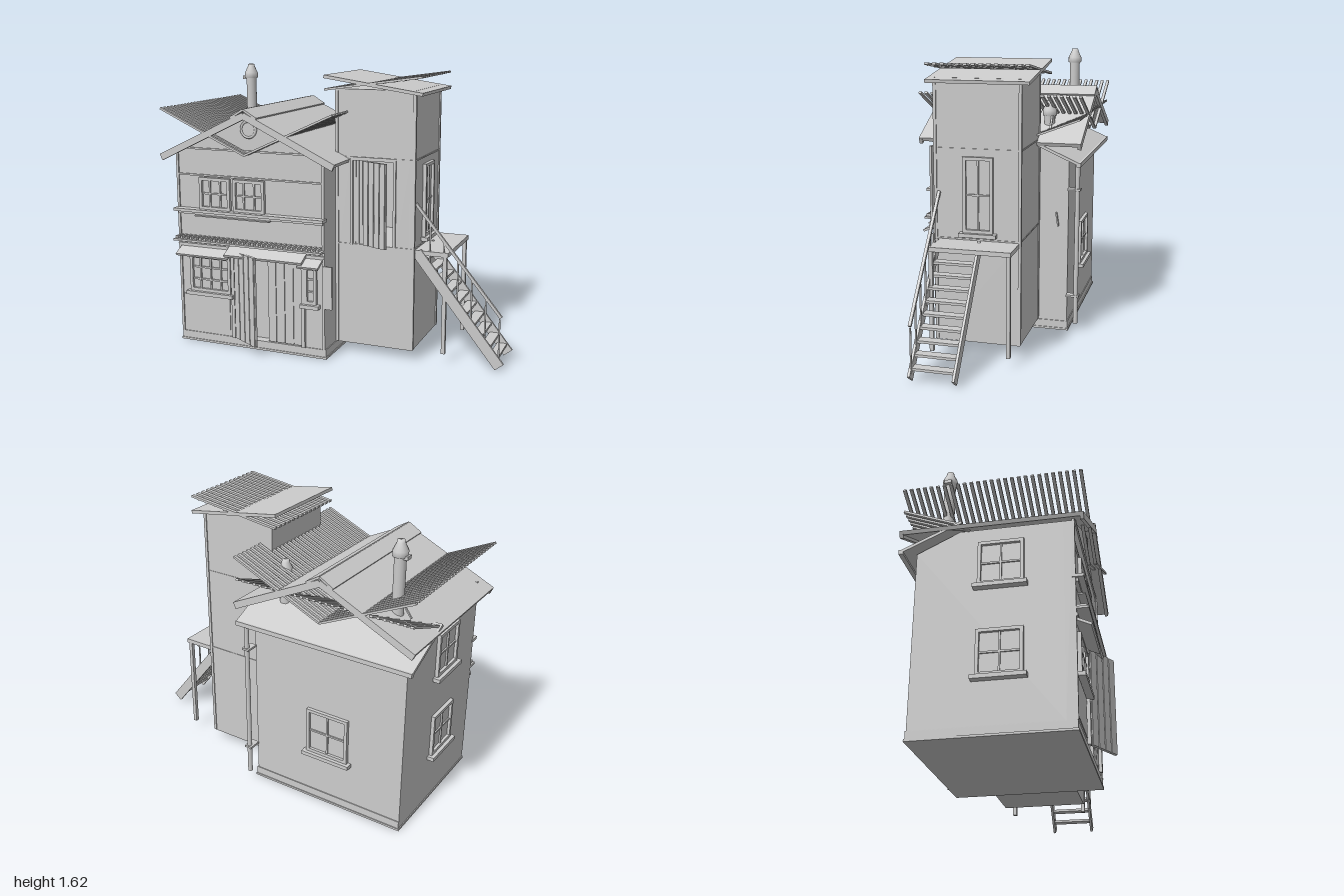
import * as THREE from 'three';

const grey = new THREE.MeshStandardMaterial({ color: 0xcccccc });
grey.name = 'plainGrey';

export function createModel() {
  const root = new THREE.Group();
  root.name = 'house';

  const add = (parent, name, geo) => {
    const m = new THREE.Mesh(geo, grey);
    m.name = name;
    parent.add(m);
    return m;
  };
  const group = (name, parent = root) => {
    const g = new THREE.Group();
    g.name = name;
    parent.add(g);
    return g;
  };
  // box given by its extents
  const box = (parent, name, x0, x1, y0, y1, z0, z1) => {
    const m = add(parent, name, new THREE.BoxGeometry(x1 - x0, y1 - y0, z1 - z0));
    m.position.set((x0 + x1) / 2, (y0 + y1) / 2, (z0 + z1) / 2);
    return m;
  };
  // sloping board between two points in x/y, spanning z0..z1
  const beam = (parent, name, x0, y0, x1, y1, t, z0, z1) => {
    const m = add(parent, name, new THREE.BoxGeometry(Math.hypot(x1 - x0, y1 - y0), t, z1 - z0));
    m.position.set((x0 + x1) / 2, (y0 + y1) / 2, (z0 + z1) / 2);
    m.rotation.z = Math.atan2(y1 - y0, x1 - x0);
    return m;
  };
  // row of evenly spaced sloping slats
  const slats = (parent, name, x0, y0, x1, y1, z0, z1, n, w) => {
    for (let i = 0; i < n; i++) {
      const z = z0 + ((z1 - z0 - w) * i) / (n - 1);
      beam(parent, name, x0, y0, x1, y1, 0.012, z, z + w);
    }
  };
  const poly = (pts) => new THREE.Shape(pts.map(([x, y]) => new THREE.Vector2(x, y)));
  const prism = (parent, name, shape, z0, z1) => {
    const m = add(parent, name, new THREE.ExtrudeGeometry(shape, { depth: z1 - z0, bevelEnabled: false }));
    m.position.z = z0;
    return m;
  };
  // upright cross-section turned so that local x is -z and local z is x
  const sideways = (name) => {
    const g = group(name);
    g.rotation.y = Math.PI / 2;
    return g;
  };
  // framed window facing local +z
  const makeWindow = (name, w, h, cols, rows, x, y, z, turn = 0, sill = true) => {
    const g = group(name);
    g.position.set(x, y, z);
    g.rotation.y = turn;
    const a = w / 2, b = h / 2, f = 0.018;
    box(g, 'windowPane', -a, a, -b, b, 0, 0.004);
    for (const s of [-1, 1]) {
      box(g, 'windowFrame', s * (a - f / 2) - f / 2, s * (a - f / 2) + f / 2, -b, b, 0, 0.02);
      box(g, 'windowFrame', -a, a, s * (b - f / 2) - f / 2, s * (b - f / 2) + f / 2, 0, 0.02);
    }
    for (let i = 1; i < cols; i++) box(g, 'windowBar', -a + (w * i) / cols - 0.005, -a + (w * i) / cols + 0.005, -b, b, 0, 0.013);
    for (let i = 1; i < rows; i++) box(g, 'windowBar', -a, a, -b + (h * i) / rows - 0.005, -b + (h * i) / rows + 0.005, 0, 0.012);
    if (sill) box(g, 'windowSill', -a - 0.02, a + 0.02, -b - 0.022, -b, 0, 0.04);
    return g;
  };
  // planked door leaf hinged at its local origin
  const door = (name, w, h, x, y, z, turn) => {
    const g = group(name);
    g.position.set(x, y, z);
    g.rotation.y = turn;
    box(g, 'doorLeaf', 0, w, 0, h, -0.006, 0.006);
    for (let i = 0; i < 4; i++) box(g, 'doorPlank', (w * i) / 4 + 0.003, (w * (i + 1)) / 4 - 0.003, 0, h, 0.006, 0.012);
  };

  // House body with a sloping back edge
  const body = sideways('houseBody');
  prism(body, 'houseWalls', poly([[-0.34, 0.06], [0.43, 0.06], [0.43, 1.04], [0.2, 1.15], [-0.34, 1.15]]), -0.93, 0.01);
  box(root, 'plinth', -0.93, 0.015, 0.02, 0.065, -0.435, 0.395);
  box(root, 'plinthEdge', -0.935, 0.02, 0.01, 0.022, -0.44, 0.4);

  // Front wall with the doorway cut out
  const front = poly([[-0.93, 0.06], [-0.56, 0.06], [-0.56, 0.57], [-0.13, 0.57], [-0.13, 0.06], [0.01, 0.06], [0.01, 1.15], [-0.45, 1.385], [-0.93, 1.15]]);
  prism(root, 'frontWall', front, 0.34, 0.39);
  prism(root, 'backGable', poly([[-0.93, 1.14], [0.01, 1.14], [-0.45, 1.385]]), -0.22, -0.18);

  // Front trim
  const trim = group('frontTrim');
  for (const x of [-0.93, -0.005]) box(trim, 'cornerBoard', x, x + 0.015, 0.065, 1.18, 0.385, 0.398);
  for (const y of [1.03, 1.185]) box(trim, 'wallStrip', -0.93, 0.01, y - 0.005, y + 0.005, 0.385, 0.398);
  box(trim, 'upperLedge', -0.935, 0.02, 0.815, 0.832, 0.38, 0.44);
  box(trim, 'ledgeBracket', -0.92, 0.005, 0.797, 0.815, 0.38, 0.41);
  box(trim, 'ledgeBoard', -0.8, -0.32, 0.79, 0.797, 0.38, 0.43);
  box(trim, 'dentilRail', -0.93, 0.01, 0.64, 0.652, 0.38, 0.46);
  for (let i = 0; i < 30; i++) box(trim, 'dentil', -0.92 + i * 0.031, -0.905 + i * 0.031, 0.652, 0.668, 0.38, 0.45);
  box(trim, 'lowerRail', -0.93, 0.01, 0.6, 0.618, 0.38, 0.405);
  const awnings = sideways('frontAwnings');
  for (const [a, b] of [[-0.91, -0.57], [-0.13, 0]]) beam(awnings, 'awning', -0.47, 0.56, -0.385, 0.6, 0.014, a, b);
  beam(awnings, 'doorAwning', -0.47, 0.58, -0.385, 0.62, 0.016, -0.59, -0.1);
  box(trim, 'lowerPanel', -0.91, -0.6, 0.09, 0.3, 0.385, 0.395);
  box(trim, 'shutter', 0, 0.055, 0.31, 0.56, 0.388, 0.4);

  // Front doorway and its leaves
  for (const x of [-0.58, -0.13]) box(trim, 'doorPost', x, x + 0.02, 0.065, 0.6, 0.38, 0.41);
  box(trim, 'doorLintel', -0.58, -0.11, 0.57, 0.6, 0.38, 0.41);
  door('frontDoorOpen', 0.21, 0.53, -0.55, 0.07, 0.405, -0.52);
  door('frontDoorClosed', 0.22, 0.5, -0.35, 0.07, 0.38, 0);

  // Windows of the house
  makeWindow('upperFrontWindow', 0.2, 0.19, 3, 2, -0.675, 0.925, 0.39, 0, false);
  makeWindow('upperFrontWindow', 0.2, 0.19, 3, 2, -0.455, 0.925, 0.39, 0, false);
  makeWindow('lowerFrontWindow', 0.27, 0.22, 4, 3, -0.72, 0.44, 0.39);
  makeWindow('smallFrontWindow', 0.075, 0.22, 1, 3, -0.075, 0.44, 0.39);
  for (const y of [0.44, 0.94]) makeWindow('sideWindow', 0.24, 0.25, 2, 2, -0.93, y, 0.02, -Math.PI / 2);
  makeWindow('backWindow', 0.26, 0.27, 2, 2, -0.47, 0.46, -0.43, Math.PI);
  const ring = add(root, 'gableRing', new THREE.TorusGeometry(0.045, 0.008, 8, 24));
  ring.position.set(-0.45, 1.31, 0.395);
  const vent = add(root, 'gableVent', new THREE.CylinderGeometry(0.042, 0.042, 0.01, 24));
  vent.position.set(-0.45, 1.31, 0.393);
  vent.rotation.x = Math.PI / 2;

  // Main roof: slabs, verge boards, ridge cap and crossing slats
  const roof = group('mainRoof');
  for (const s of [-1, 1]) {
    const at = (d) => -0.453 + s * d;
    beam(roof, 'roofSlab', at(0), 1.4, at(0.543), 1.14, 0.022, -0.51, 0.455);
    beam(roof, 'ridgeCap', at(0), 1.425, at(0.08), 1.378, 0.012, -0.51, 0.455);
    for (const z of [-0.51, 0.435]) beam(roof, 'vergeBoard', at(0), 1.39, at(0.54), 1.13, 0.036, z, z + 0.02);
    slats(roof, 'roofSlat', at(0), 1.17, at(0.535), 1.415, -0.51, 0.455, 27, 0.018);
  }

  // Rear lean-to roof with its slats and gutter
  const rear = sideways('rearRoof');
  beam(rear, 'rearSlab', 0.18, 1.172, 0.5, 1.03, 0.016, -0.99, 0.085);
  slats(rear, 'rearSlat', 0.15, 1.15, 0.5, 1.285, -0.98, 0.08, 29, 0.018);
  box(root, 'gutter', -0.99, 0.085, 1.015, 1.04, -0.51, -0.485);

  // Downpipe on the back corner
  const pipe = add(root, 'downpipe', new THREE.CylinderGeometry(0.014, 0.014, 0.96, 10));
  pipe.position.set(0.03, 0.545, -0.485);
  for (const y of [0.23, 0.87]) box(root, 'pipeClip', 0.005, 0.05, y, y + 0.012, -0.505, -0.43);
  beam(sideways('wallHandle'), 'handle', 0.36, 0.73, 0.373, 0.65, 0.008, 0.005, 0.03);

  // Chimney pots
  const pot = (name, x, z, y0, y1, r) => {
    const pts = [[r, y0], [r, y1 - 0.09], [r * 1.3, y1 - 0.085], [r * 1.3, y1 - 0.055], [r * 0.7, y1 - 0.015], [r * 0.6, y1], [0, y1]];
    const m = add(root, name, new THREE.LatheGeometry(pts.map(([a, b]) => new THREE.Vector2(a, b)), 14));
    m.position.set(x, 0, z);
  };
  pot('chimney', -0.795, -0.31, 1.15, 1.635, 0.032);
  pot('smallChimney', -0.1, -0.29, 1.12, 1.37, 0.032);
  box(root, 'chimneyBracket', -0.845, -0.795, 1.54, 1.56, -0.33, -0.29);
  for (const [x, y] of [[-0.795, 1.34], [-0.1, 1.32]]) for (const s of [-1, 1]) beam(root, 'chimneyStay', x, y, x + s * 0.08, y - 0.11, 0.008, -0.315, -0.305);

  // Tower: solid foot and head, hollow middle storey
  const tower = group('tower');
  box(tower, 'towerFoot', 0.01, 0.475, 0.065, 0.66, -0.255, 0.225);
  box(tower, 'towerHead', 0.01, 0.475, 1.16, 1.54, -0.255, 0.225);
  box(tower, 'towerSideWall', 0.45, 0.475, 0.66, 1.16, -0.255, 0.225);
  box(tower, 'towerSideWall', 0.01, 0.035, 0.66, 1.16, -0.255, 0.225);
  box(tower, 'towerBackWall', 0.035, 0.45, 0.66, 1.16, -0.255, -0.23);
  box(tower, 'towerFrontWall', 0.035, 0.1, 0.66, 1.16, 0.2, 0.225);
  box(tower, 'towerFrontWall', 0.37, 0.45, 0.66, 1.16, 0.2, 0.225);
  for (const x of [0.01, 0.465]) for (const z of [-0.26, 0.215]) box(tower, 'towerCorner', x, x + 0.017, 0.07, 1.53, z, z + 0.017);
  for (const y of [0.66, 1.16]) box(tower, 'towerStrip', 0.01, 0.48, y - 0.004, y + 0.004, -0.258, 0.23);
  for (const x of [0.1, 0.355]) box(tower, 'towerDoorPost', x, x + 0.015, 0.66, 1.16, 0.2, 0.235);
  box(tower, 'towerDoorLintel', 0.1, 0.37, 1.145, 1.165, 0.2, 0.235);
  door('towerDoorFixed', 0.08, 0.48, 0.115, 0.665, 0.215, 0);
  door('towerDoorOpen', 0.165, 0.48, 0.185, 0.665, 0.235, -0.39);
  makeWindow('towerWindow', 0.17, 0.42, 2, 2, 0.475, 0.91, -0.02, Math.PI / 2);

  // Tower roof with crossing slats
  beam(tower, 'towerRoofSlab', -0.048, 1.607, 0.525, 1.523, 0.018, -0.31, 0.262);
  slats(tower, 'towerSlat', -0.045, 1.535, 0.52, 1.615, -0.31, 0.262, 14, 0.022);
  for (let i = 0; i < 4; i++) beam(tower, 'towerBatten', 0.29 + i * 0.06, 1.577 + i * 0.0085, 0.3 + i * 0.06, 1.578 + i * 0.0085, 0.006, -0.31, 0.262);

  // Landing and stairs
  const stairs = group('stairs');
  box(stairs, 'landing', 0.47, 0.67, 0.63, 0.655, -0.25, 0.21);
  for (const z of [-0.245, 0.185]) box(stairs, 'landingPost', 0.64, 0.662, 0.065, 0.63, z, z + 0.022);
  for (const z of [-0.04, 0.2]) beam(stairs, 'stringer', 0.49, 0.645, 0.975, 0.035, 0.06, z, z + 0.014);
  for (let i = 0; i < 10; i++) {
    const x = 0.525 + i * 0.046, y = 0.605 - i * 0.058;
    box(stairs, 'tread', x - 0.028, x + 0.028, y - 0.007, y + 0.007, -0.035, 0.205);
  }
  beam(stairs, 'handrail', 0.48, 0.92, 0.975, 0.32, 0.016, 0.194, 0.21);
  for (let i = 0; i < 6; i++) {
    const x = 0.565 + i * 0.0805, y = 0.55 - (x - 0.565) * 1.257;
    box(stairs, 'baluster', x - 0.004, x + 0.004, y, y + 0.266, 0.198, 0.206);
  }
  return root;
}
